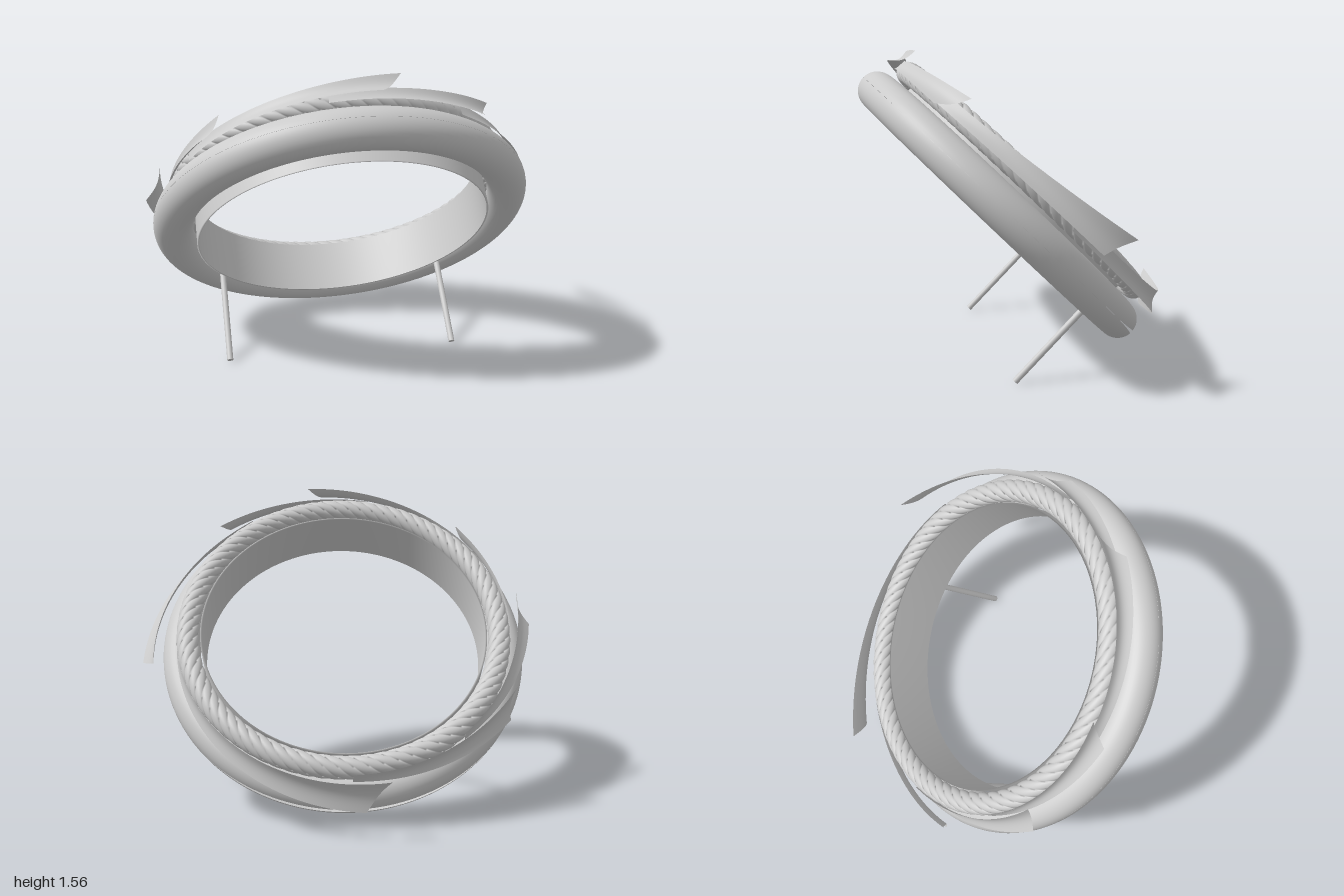
import * as THREE from 'three';
import { ParametricGeometry } from 'three/addons/geometries/ParametricGeometry.js';

const RAD = Math.PI / 180;
const TAU = Math.PI * 2;
const mat = new THREE.MeshStandardMaterial({ color: 0xcccccc, side: THREE.DoubleSide });

// point at angle phi around the ring, radius r, height n along the ring axis
const polar = (phi, r, n, p) => p.set(r * Math.sin(phi), n, r * Math.cos(phi));

function add(parent, name, geometry) {
  const mesh = new THREE.Mesh(geometry, mat);
  mesh.name = name;
  parent.add(mesh);
  return mesh;
}

// hollow round ring whose outer seam gapes open at its lowest point
function hollowRing(R, r) {
  return new ParametricGeometry((u, v, p) => {
    const phi = u * TAU;
    const gap = 0.004 + 0.13 * THREE.MathUtils.smoothstep(-Math.cos(phi), 0.6, 1);
    const a = gap + v * (TAU - 2 * gap);
    polar(phi, R + r * Math.cos(a), r * Math.sin(a), p);
  }, 128, 40);
}

// ring of twisted strands
function rope(R, n, strands, turns) {
  return new ParametricGeometry((u, v, p) => {
    const phi = u * TAU, a = v * TAU;
    const lobe = Math.abs(Math.cos((strands / 2) * (a + turns * phi)));
    const r = 0.049 + 0.008 * Math.sqrt(lobe);
    polar(phi, R + r * Math.cos(a), n + r * Math.sin(a), p);
  }, 576, 42);
}

// curved leaf that hugs the rope, then widens and flares to a slanted tip
function leaf(start, end, topR, topN, lowR, lowN) {
  const mix = THREE.MathUtils.lerp;
  return new ParametricGeometry((u, v, p) => {
    const flare = u * u, spread = Math.pow(u, 1.4);
    const r = mix(mix(0.865, lowR, spread), mix(0.86, topR, flare), v);
    const n = mix(mix(0.14, lowN, spread), mix(0.2, topN, flare), v);
    const hollow = 0.02 * u * Math.sin(v * Math.PI);
    const phi = mix(start, end, u) - 7 * (1 - v) * u;
    polar(phi * RAD, r - hollow, n - hollow * 0.4, p);
  }, 48, 10);
}

export function createModel() {
  const model = new THREE.Group();
  model.name = 'tiltedWreath';

  // everything is built flat, then leaned by 45 degrees
  const ring = new THREE.Group();
  ring.name = 'ring';
  ring.position.set(-0.02, 0.75, 0.1);
  ring.rotation.x = -Math.PI / 4;
  model.add(ring);

  add(ring, 'mainRing', hollowRing(0.853, 0.098));
  add(ring, 'twistedRope', rope(0.805, 0.172, 6, 12));

  // thin inner sleeve
  const sleeve = [[0.733, -0.1], [0.742, -0.1], [0.742, 0.18], [0.733, 0.18], [0.733, -0.1]];
  const band = new THREE.LatheGeometry(sleeve.map(([x, y]) => new THREE.Vector2(x, y)), 128);
  add(ring, 'innerBand', band);

  // leaves: start angle, end angle, upper tip (radius, height), lower tip (radius, height)
  const leaves = [
    [-62, 12, 0.905, 0.262, 0.935, 0.145],
    [-10, 47, 0.907, 0.255, 0.937, 0.128],
    [35, 108, 0.985, 0.311, 1.04, 0.15],
    [95, 192, 0.975, 0.318, 1.03, 0.148],
    [182, 244, 0.942, 0.266, 0.975, 0.13],
    [222, 280, 0.915, 0.262, 0.98, 0.127],
    [258, 315, 0.88, 0.247, 0.92, 0.134],
  ];
  leaves.forEach((l, i) => add(ring, `leaf${i + 1}`, leaf(...l)));

  // pair of straight legs
  for (const side of [-1, 1]) {
    const leg = add(ring, side > 0 ? 'leftLeg' : 'rightLeg', new THREE.CylinderGeometry(0.016, 0.016, 0.52, 20));
    leg.position.set(side * 0.6, -0.297, -0.49);
  }
  return model;
}
